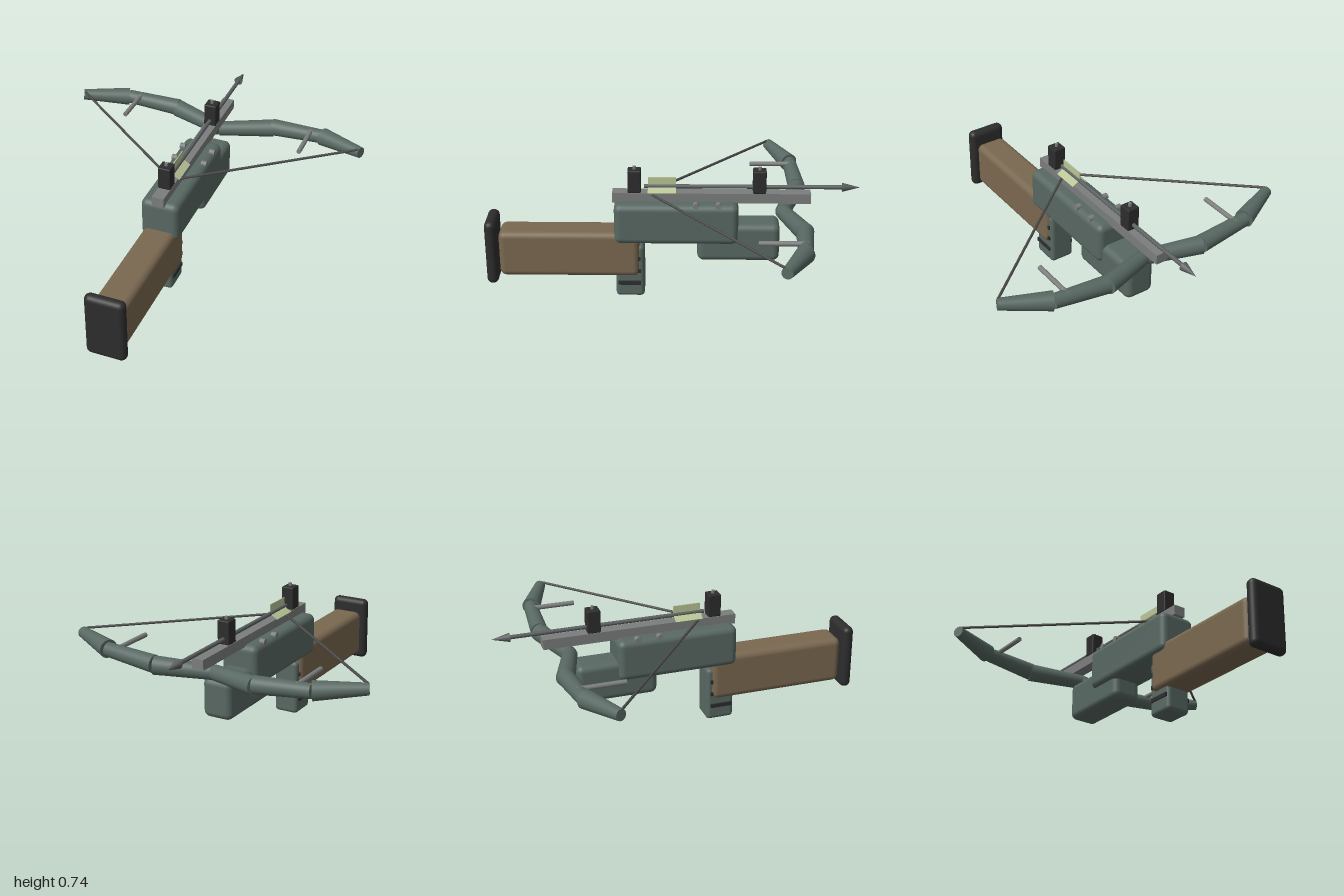
import * as THREE from 'three';
import { RoundedBoxGeometry } from 'three/addons/geometries/RoundedBoxGeometry.js';

const material = (name, color, side = THREE.FrontSide) => {
  const m = new THREE.MeshStandardMaterial({ color, side });
  m.name = name;
  return m;
};

export function createModel() {
  const model = new THREE.Group();
  model.name = 'crossbow';

  const green = material('greyGreen', 0x586862);
  const wood = material('woodBrown', 0x7a6850);
  const dark = material('darkRubber', 0x2d2d2d);
  const metal = material('railMetal', 0x7c7e7e);
  const steel = material('darkSteel', 0x5c6060);
  const cord = material('cordGrey', 0x4c4c4c);
  const vaneGreen = material('paleGreen', 0xb9c596, THREE.DoubleSide);

  const add = (name, geometry, mat, parent = model) => {
    const mesh = new THREE.Mesh(geometry, mat);
    mesh.name = name;
    parent.add(mesh);
    return mesh;
  };

  // Box given by its half width and its y and z ranges; rounded when radius > 0
  const block = (name, mat, halfW, [y0, y1], [z0, z1], radius = 0) => {
    const size = [halfW * 2, y1 - y0, z1 - z0];
    const geo = radius ? new RoundedBoxGeometry(...size, 4, radius) : new THREE.BoxGeometry(...size);
    const mesh = add(name, geo, mat);
    mesh.position.set(0, (y0 + y1) / 2, (z0 + z1) / 2);
    return mesh;
  };

  // Tapered round bar between two points
  const bar = (name, mat, from, to, r0, r1 = r0, sides = 20) => {
    const a = new THREE.Vector3(...from), b = new THREE.Vector3(...to);
    const dir = b.clone().sub(a);
    const mesh = add(name, new THREE.CylinderGeometry(r1, r0, dir.length(), sides), mat);
    mesh.position.copy(a).add(b).multiplyScalar(0.5);
    mesh.quaternion.setFromUnitVectors(new THREE.Vector3(0, 1, 0), dir.normalize());
    return mesh;
  };

  // Stock, receiver and grips
  block('buttPad', dark, 0.108, [0.085, 0.45], [0.938, 1.0], 0.03);
  block('stock', wood, 0.088, [0.125, 0.385], [0.17, 0.93], 0.035);
  block('grip', green, 0.07, [0, 0.305], [0.145, 0.3], 0.022);
  for (const y of [0.085, 0.158, 0.231]) {
    block('gripBand', dark, 0.077, [y - 0.011, y + 0.011], [0.165, 0.287]);
  }
  block('receiver', green, 0.105, [0.328, 0.555], [-0.357, 0.305], 0.035);
  block('foreGrip', green, 0.083, [0.222, 0.435], [-0.58, -0.14], 0.035);
  block('rail', metal, 0.033, [0.545, 0.6], [-0.74, 0.315]);

  // Sights with a small pin on top
  for (const z of [0.197, -0.467]) {
    block('sight', dark, 0.034, [0.6, 0.725], [z - 0.035, z + 0.035], 0.006);
    bar('sightPin', metal, [0, 0.7, z], [0, 0.742, z], 0.009, 0.009, 12);
  }

  // Bolt with pointed head and three vanes
  bar('boltShaft', steel, [0, 0.628, 0.145], [0, 0.628, -0.91], 0.011);
  bar('boltHead', steel, [0, 0.628, -0.905], [0, 0.628, -1.0], 0.024, 0);
  for (let i = 0; i < 3; i++) {
    const pivot = new THREE.Group();
    pivot.name = 'vane';
    pivot.position.set(0, 0.628, 0.05);
    pivot.rotation.z = i * Math.PI * 2 / 3;
    add('vanePlate', new THREE.BoxGeometry(0.005, 0.05, 0.15), vaneGreen, pivot).position.y = 0.026;
    model.add(pivot);
  }

  // Mirrored limbs, string halves, rods and screws
  for (const s of [-1, 1]) {
    bar('innerLimb', green, [0, 0.485, -0.595], [s * 0.292, 0.5, -0.69], 0.04, 0.049, 28);
    bar('middleLimb', green, [s * 0.29, 0.506, -0.69], [s * 0.592, 0.525, -0.67], 0.047, 0.038, 28);
    bar('outerLimb', green, [s * 0.59, 0.526, -0.667], [s * 0.834, 0.545, -0.56], 0.05, 0.03, 28);
    bar('string', cord, [s * 0.82, 0.568, -0.55], [0, 0.59, 0.125], 0.007, 0.007, 8);
    bar('limbRod', metal, [s * 0.518, 0.547, -0.69], [s * 0.518, 0.547, -0.44], 0.013);
    for (const z of [-0.25, -0.13]) {
      bar('screw', metal, [s * 0.07, 0.554, z], [s * 0.1, 0.554, z], 0.016, 0.016, 14);
    }
  }
  return model;
}
